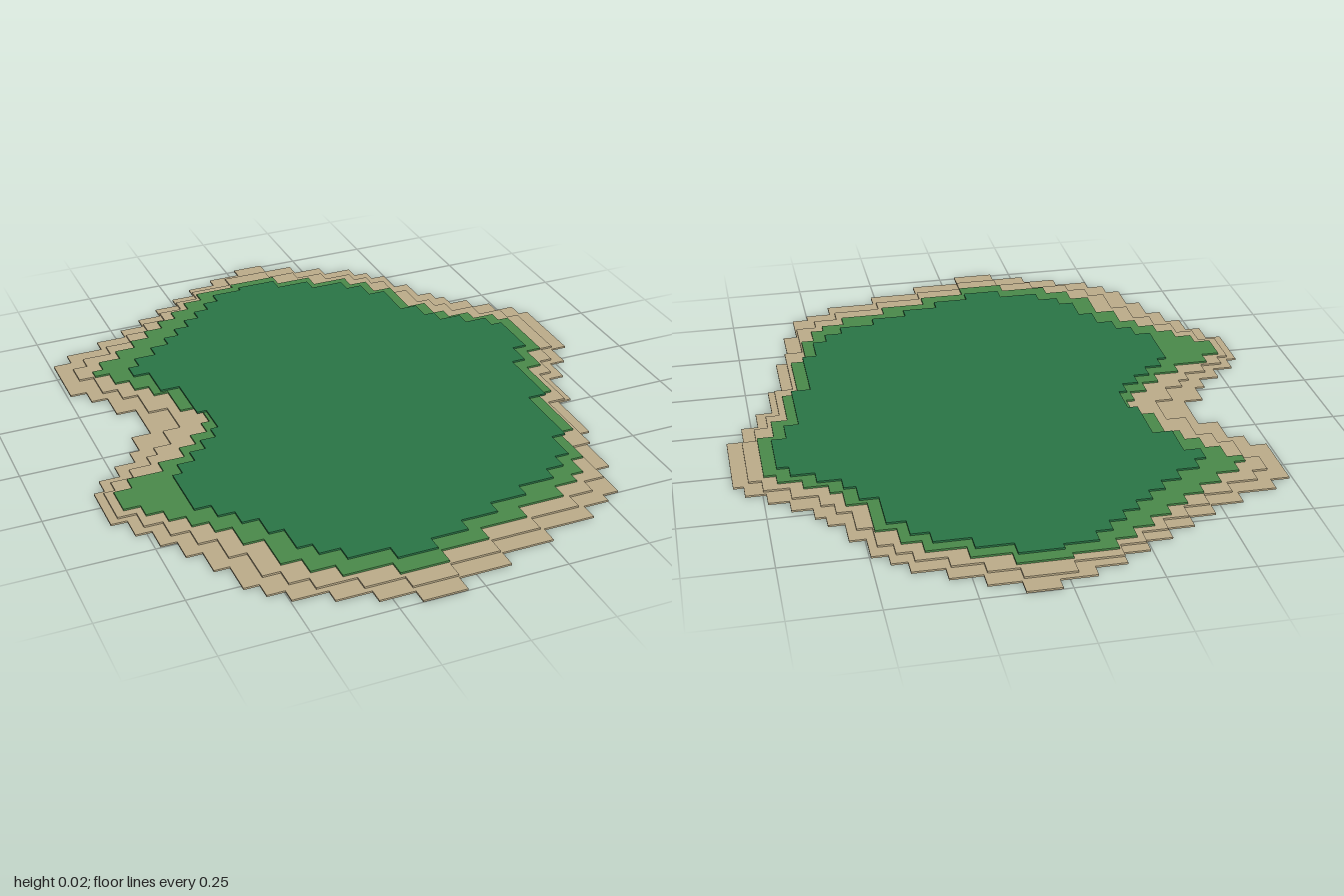
import * as THREE from 'three';

const STEP = 0.049;   // size of one stair notch along the coast
const LAYER = 0.0055; // thickness of each slab

// Coast outlines as [x, z] corners, clockwise from the back
const shore = [
  [0.08, -1], [0.45, -0.8], [0.59, -0.53], [0.83, -0.32], [0.83, -0.1],
  [0.68, 0.15], [0.55, 0.72], [0.5, 0.78], [-0.13, 1], [-0.55, 0.82],
  [-0.64, 0.61], [-0.83, 0.31], [-0.83, 0.18], [-0.64, 0.01], [-0.58, -0.15],
  [-0.64, -0.29], [-0.74, -0.41], [-0.74, -0.58], [-0.51, -0.68], [-0.13, -0.92],
];
const meadow = [
  [0.07, -0.88], [0.41, -0.72], [0.53, -0.42], [0.74, -0.29], [0.74, -0.11],
  [0.64, 0.08], [0.54, 0.53], [0.46, 0.67], [-0.12, 0.88], [-0.41, 0.78],
  [-0.53, 0.53], [-0.78, 0.28], [-0.78, 0.21], [-0.56, 0.11], [-0.4, -0.05],
  [-0.46, -0.24], [-0.55, -0.35], [-0.64, -0.48], [-0.5, -0.58], [-0.13, -0.86],
];
const forest = [
  [0.06, -0.84], [0.38, -0.69], [0.49, -0.41], [0.7, -0.26], [0.7, -0.13],
  [0.61, 0.03], [0.55, 0.39], [0.46, 0.59], [-0.11, 0.82], [-0.36, 0.72],
  [-0.45, 0.53], [-0.6, 0.36], [-0.6, 0.2], [-0.54, 0.15], [-0.39, 0],
  [-0.42, -0.21], [-0.48, -0.34], [-0.53, -0.45], [-0.39, -0.55], [-0.09, -0.82],
];
// Upper beach lies halfway between the shore and the meadow
const beach = shore.map(([x, z], i) => [(x + meadow[i][0]) / 2, (z + meadow[i][1]) / 2]);

// Turn every slanted edge into right-angled steps: half run, rise, half run
function staircase(corners) {
  const points = [];
  corners.forEach(([ax, az], i) => {
    const [bx, bz] = corners[(i + 1) % corners.length];
    const dx = bx - ax, dz = bz - az;
    const minor = Math.min(Math.abs(dx), Math.abs(dz));
    points.push(new THREE.Vector2(ax, -az));
    if (minor < 0.001) return;
    const n = Math.max(1, Math.round(minor / STEP));
    for (let k = 0; k < n; k++) {
      const before = k / n, mid = (k + 0.5) / n, after = (k + 1) / n;
      const alongX = Math.abs(dx) > Math.abs(dz);
      for (const t of [before, after]) {
        points.push(new THREE.Vector2(
          ax + dx * (alongX ? mid : t),
          -(az + dz * (alongX ? t : mid)),
        ));
      }
    }
  });
  return points;
}

function slab(name, corners, level, color) {
  const shape = new THREE.Shape(staircase(corners));
  const geometry = new THREE.ExtrudeGeometry(shape, { depth: LAYER, bevelEnabled: false });
  geometry.rotateX(-Math.PI / 2);
  const mesh = new THREE.Mesh(geometry, new THREE.MeshStandardMaterial({ color }));
  mesh.name = name;
  mesh.position.y = level * LAYER;
  return mesh;
}

export function createModel() {
  const island = new THREE.Group();
  island.name = 'island';
  island.add(
    slab('lowerBeach', shore, 0, 0xbdad8a),
    slab('upperBeach', beach, 1, 0xbdad8a),
    slab('meadow', meadow, 2, 0x4a8a4a),
    slab('forestFloor', forest, 3, 0x2a7546),
  );
  return island;
}
